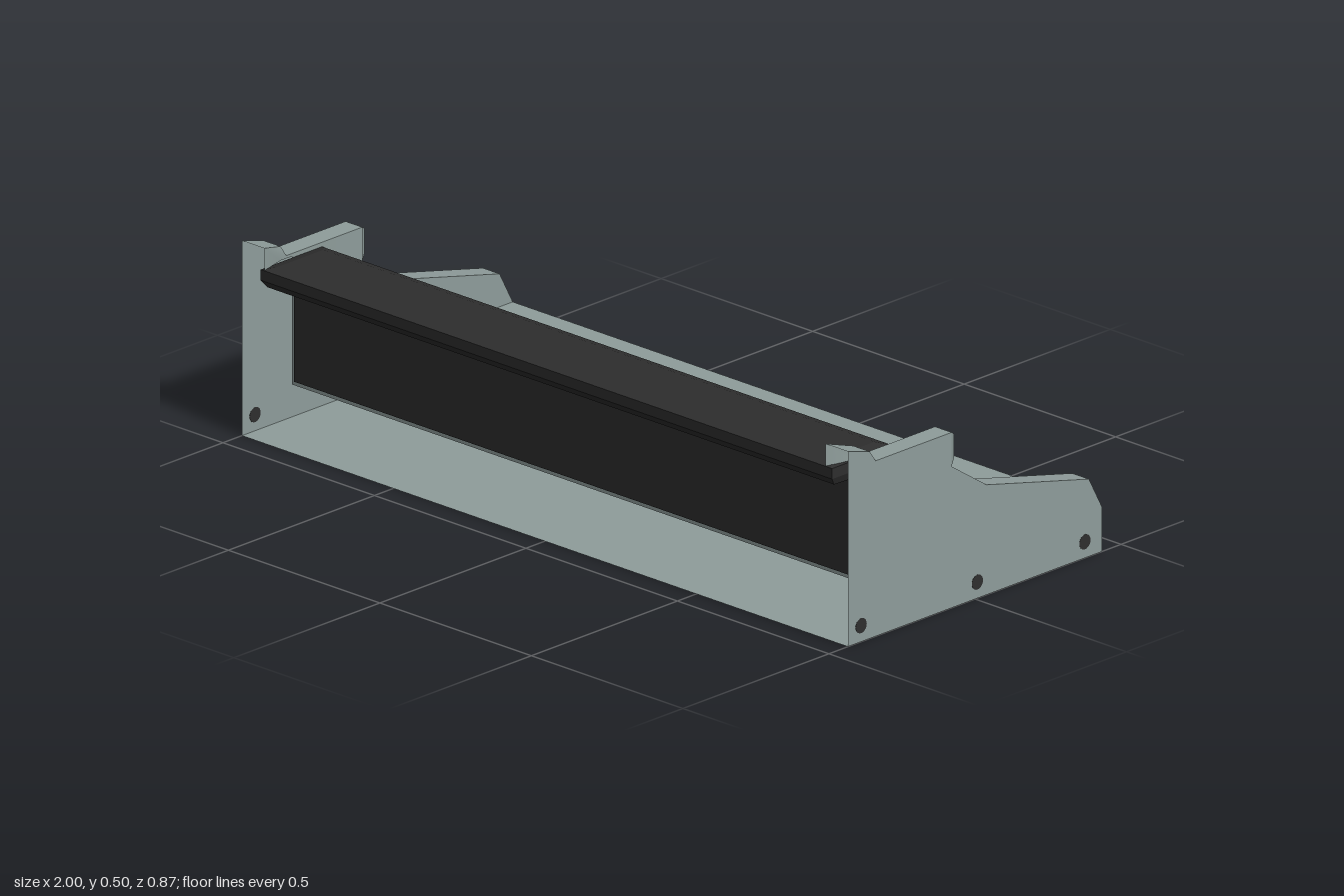
import * as THREE from 'three';

const grey = new THREE.MeshStandardMaterial({ color: 0x8f9d9b, side: THREE.DoubleSide });
grey.name = 'grey shell';
const black = new THREE.MeshStandardMaterial({ color: 0x2e2e2e, side: THREE.DoubleSide });
black.name = 'black panel';

// flat-shaded surface from four-cornered faces
function quads(name, faces, material) {
  const pos = [];
  for (const [a, b, c, d] of faces) pos.push(...a, ...b, ...c, ...a, ...c, ...d);
  const g = new THREE.BufferGeometry();
  g.setAttribute('position', new THREE.Float32BufferAttribute(pos, 3));
  g.computeVertexNormals();
  const m = new THREE.Mesh(g, material);
  m.name = name;
  return m;
}

// upright plate from a z,y outline, placed at x given by a rule of z
function plate(name, outline, xAt) {
  const g = new THREE.ShapeGeometry(new THREE.Shape(outline.map(([z, y]) => new THREE.Vector2(z, y))));
  g.rotateY(-Math.PI / 2);
  const p = g.attributes.position;
  for (let i = 0; i < p.count; i++) p.setX(i, xAt(p.getZ(i)));
  g.computeVertexNormals();
  const m = new THREE.Mesh(g, grey);
  m.name = name;
  return m;
}

// faces joining rectangular rings
function loft(rings) {
  const faces = [];
  for (let k = 0; k + 1 < rings.length; k++)
    for (let i = 0; i < 4; i++) {
      const j = (i + 1) % 4;
      faces.push([rings[k][i], rings[k][j], rings[k + 1][j], rings[k + 1][i]]);
    }
  faces.push(rings[rings.length - 1]);
  return faces;
}

const FRONT = 0.435, BACK = -0.435, FLOOR = 0.113, PANEL = 0.32, IN = 0.945;
// top edge of the sides, front to back
const rimProfile = [[FRONT, 0.497], [0.36, 0.476], [0.34, 0.447], [0.08, 0.447],
  [0.08, 0.36], [-0.04, 0.28], [-0.39, 0.197], [BACK, FLOOR]];
const innerX = (z) => IN - Math.max(0, z - 0.36) * 0.25;

function side(s, name) {
  const g = new THREE.Group();
  g.name = name;
  g.add(plate('outerWall', [[FRONT, 0], ...rimProfile, [BACK, 0]], () => s));
  g.add(plate('innerWall', [[PANEL, FLOOR], [PANEL, 0.44], [0.36, 0.44], [FRONT, 0.44], ...rimProfile],
    (z) => s * innerX(z)));

  // rim between both walls, left open where the nose joins
  const rim = [];
  for (let i = 0; i + 1 < rimProfile.length; i++) {
    if (i === 3) continue;
    const [z0, y0] = rimProfile[i], [z1, y1] = rimProfile[i + 1];
    rim.push([[s, y0, z0], [s * innerX(z0), y0, z0], [s * innerX(z1), y1, z1], [s, y1, z1]]);
  }
  g.add(quads('rim', rim, grey));

  // chamfered nose
  const ring = (a, b, y0, y1, z) => [[s * a, y0, z], [s * b, y0, z], [s * b, y1, z], [s * a, y1, z]];
  g.add(quads('nose', loft([ring(IN, 1, 0.36, 0.447, 0.08), ring(0.957, 0.988, 0.372, 0.435, 0.06)]), grey));

  // screw heads
  for (const z of [0.39, -0.008, -0.376]) {
    const screw = new THREE.Mesh(new THREE.CylinderGeometry(0.019, 0.019, 0.001, 20), black);
    screw.name = 'screw';
    screw.rotation.z = Math.PI / 2;
    screw.position.set(s, 0.041, z);
    g.add(screw);
  }
  return g;
}

export function createModel() {
  const model = new THREE.Group();
  model.name = 'shelfTray';
  model.add(side(1, 'leftSide'), side(-1, 'rightSide'));

  const flat = (x, y, z0, z1) => [[-x, y, z0], [-x, y, z1], [x, y, z1], [x, y, z0]];
  const upright = (x0, x1, y0, y1, z) => [[x0, y0, z], [x1, y0, z], [x1, y1, z], [x0, y1, z]];
  model.add(quads('bottom', [flat(1, 0, BACK, FRONT)], grey));
  model.add(quads('floor', [flat(IN, FLOOR, BACK, PANEL)], grey));
  model.add(quads('backEdge', [upright(-1, 1, 0, FLOOR, BACK)], grey));

  // narrow frame around the panel
  model.add(quads('panelFrame', [
    upright(-IN, IN, FLOOR, 0.126, PANEL),
    upright(-IN, -0.932, 0.126, 0.4, PANEL),
    upright(0.932, IN, 0.126, 0.4, PANEL),
  ], grey));

  const panel = new THREE.Mesh(new THREE.BoxGeometry(1.866, 0.264, 0.012), black);
  panel.name = 'panel';
  panel.position.set(0, 0.257, PANEL);
  model.add(panel);

  // bevelled cap along the top of the panel
  model.add(quads('cap', loft([
    flat(0.93, 0.385, 0.305, 0.335),
    flat(0.935, 0.39, 0.24, 0.415),
    flat(0.943, 0.41, 0.22, 0.43),
    flat(0.943, 0.437, 0.22, 0.43),
    flat(0.91, 0.446, 0.25, 0.41),
  ]), black));
  return model;
}
